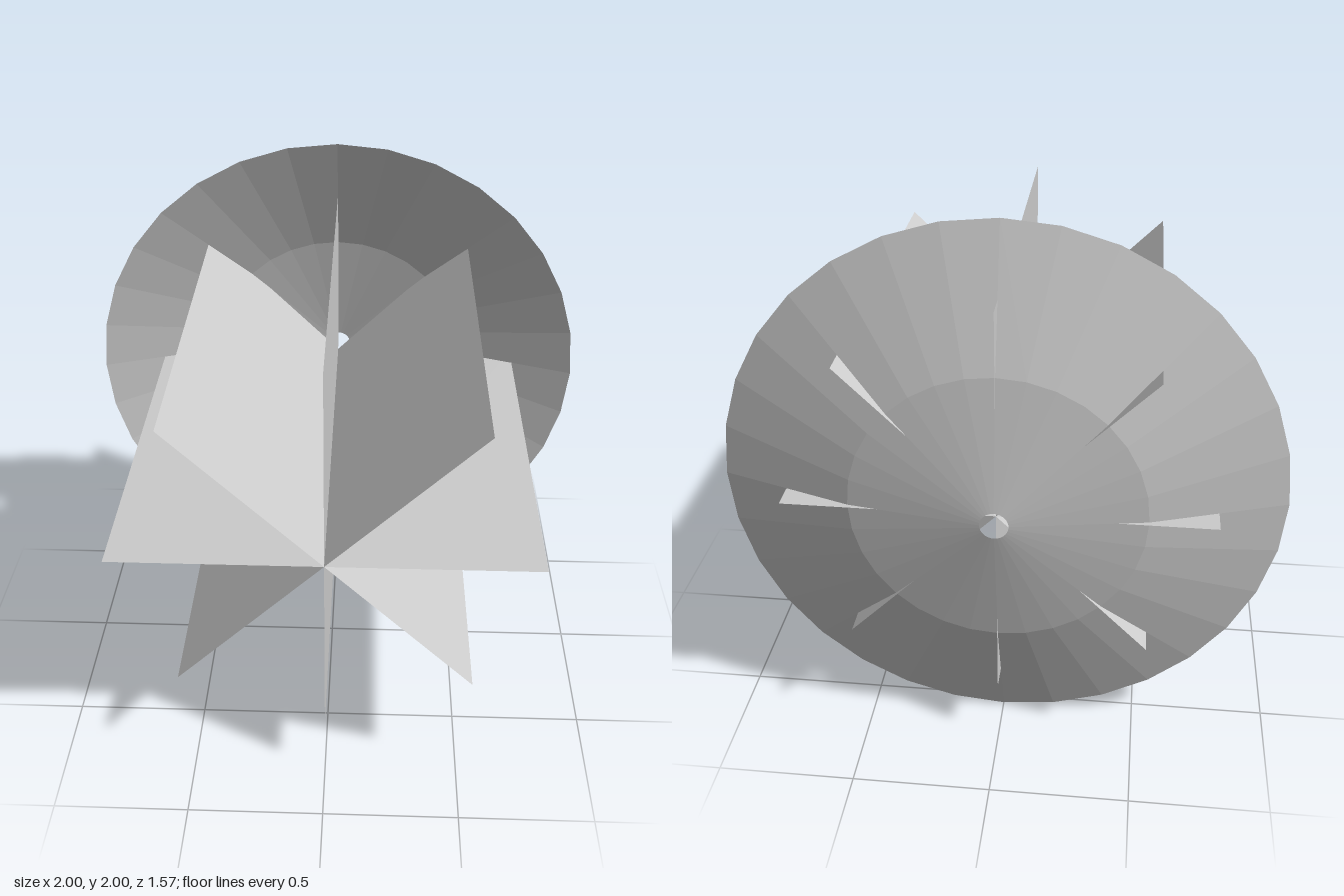
import * as THREE from 'three';

export function createModel() {
  const model = new THREE.Group();
  const material = new THREE.MeshStandardMaterial({
    color: 0xcccccc, flatShading: true, side: THREE.DoubleSide,
  });

  // Shallow two-slope dish with a small hole in the middle, opening to the front
  const profile = [[0.05, -0.785], [0.52, -0.707], [1, -0.545]]
    .map(([r, z]) => new THREE.Vector2(r, z));
  const dish = new THREE.Mesh(new THREE.LatheGeometry(profile, 32).rotateX(Math.PI / 2), material);
  dish.name = 'dish';
  dish.position.y = 1;
  model.add(dish);

  // Eight thin square-ended fins radiating from the axis, poking through the dish
  const fins = new THREE.Group();
  fins.name = 'fins';
  fins.position.set(0, 1, 0.03);
  const finRadius = 0.757, finLength = 1.51;
  const finShape = new THREE.PlaneGeometry(finRadius, finLength)
    .rotateX(-Math.PI / 2)
    .translate(finRadius / 2, 0, 0);
  for (let i = 0; i < 8; i++) {
    const fin = new THREE.Mesh(finShape, material);
    fin.name = 'fin';
    fin.rotation.z = i * Math.PI / 4;
    fins.add(fin);
  }
  model.add(fins);

  return model;
}
